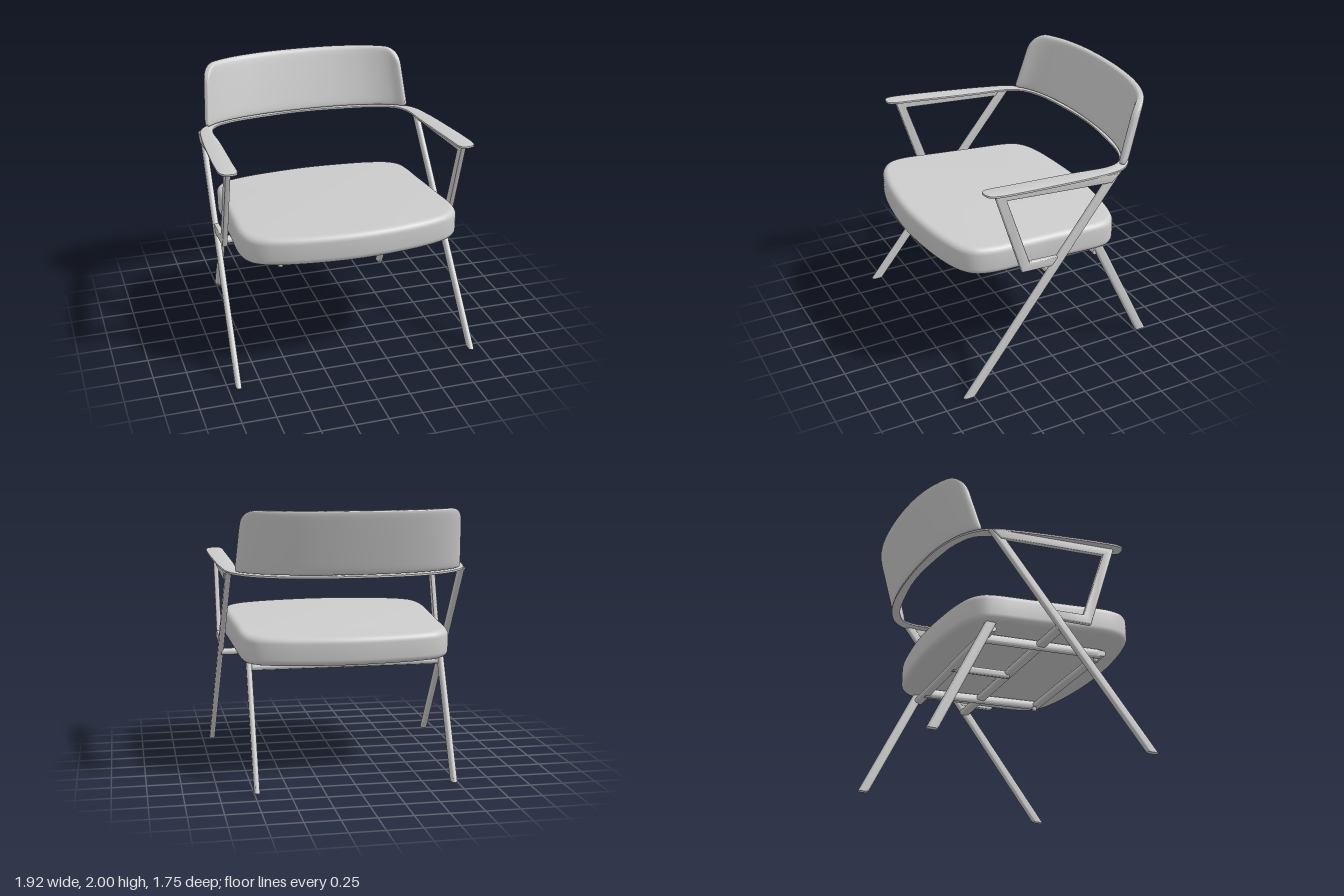
import * as THREE from 'three';
import { toCreasedNormals } from 'three/addons/utils/BufferGeometryUtils.js';

const V = (x, y, z) => new THREE.Vector3(x, y, z);

export function createModel() {
  const group = new THREE.Group();
  const grey = new THREE.MeshStandardMaterial({ color: 0xcccccc });
  grey.name = 'light grey';

  function add(name, geometry, crease = 0.6) {
    const mesh = new THREE.Mesh(toCreasedNormals(geometry, crease), grey);
    mesh.name = name;
    group.add(mesh);
  }

  // Horizontal slab from one half of its (x, z) outline, mirrored in x, then sloped along z
  function slab(half, bottom, thickness, bevel, bevelSegments, slope) {
    const mirrored = half.slice(1, -1).reverse().map(([x, z]) => [-x, z]);
    const points = half.concat(mirrored).map(([x, z]) => V(x, -z, 0));
    const outline = new THREE.CatmullRomCurve3(points, true).getPoints(140).slice(0, -1);
    const shape = new THREE.Shape(outline.map((p) => new THREE.Vector2(p.x, p.y)));
    const geometry = new THREE.ExtrudeGeometry(shape, {
      depth: thickness - 2 * bevel, bevelThickness: bevel, bevelSize: bevel,
      bevelOffset: -bevel, bevelSegments,
    });
    geometry.rotateX(-Math.PI / 2);
    geometry.translate(0, bottom + bevel, 0);
    const pos = geometry.attributes.position;
    for (let i = 0; i < pos.count; i++) pos.setY(i, pos.getY(i) + slope * pos.getZ(i));
    return geometry;
  }

  // Straight bar with a rounded section; ends may be cut level at heights cutA and cutB
  function bar(name, a, b, width, thick, cutA = null, cutB = null) {
    const r = Math.min(width, thick) * 0.42, w = width / 2, t = thick / 2;
    const shape = new THREE.Shape();
    shape.absarc(t - r, w - r, r, 0, Math.PI / 2);
    shape.absarc(-t + r, w - r, r, Math.PI / 2, Math.PI);
    shape.absarc(-t + r, -w + r, r, Math.PI, Math.PI * 1.5);
    shape.absarc(t - r, -w + r, r, Math.PI * 1.5, Math.PI * 2);
    const length = a.distanceTo(b);
    const geometry = new THREE.ExtrudeGeometry(shape, { depth: length, bevelEnabled: false, curveSegments: 5 });
    const dir = b.clone().sub(a).normalize();
    const ref = Math.abs(dir.x) > 0.9 ? V(0, 0, 1) : V(1, 0, 0);
    const up = dir.clone().cross(ref).normalize();
    const side = up.clone().cross(dir);
    geometry.applyMatrix4(new THREE.Matrix4().makeBasis(side, up, dir).setPosition(a));
    const pos = geometry.attributes.position, p = V(0, 0, 0);
    for (let i = 0; i < pos.count; i++) {
      p.fromBufferAttribute(pos, i);
      const cut = p.clone().sub(a).dot(dir) < length / 2 ? cutA : cutB;
      if (cut === null) continue;
      p.addScaledVector(dir, (cut - p.y) / dir.y);
      pos.setXYZ(i, p.x, p.y, p.z);
    }
    add(name, geometry, 0.7);
  }

  // Seat cushion
  add('seat', slab([
    [0, 0.875], [0.3, 0.855], [0.55, 0.81], [0.7, 0.755], [0.79, 0.675], [0.828, 0.55],
    [0.82, 0.25], [0.803, -0.1], [0.79, -0.36], [0.765, -0.45], [0.69, -0.525],
    [0.55, -0.575], [0.3, -0.612], [0, -0.63],
  ], 0.89, 0.215, 0.05, 6, 0.057), 0.5);

  // Thin band forming both armrests and running beneath the backrest
  add('armrestBand', slab([
    [0, -0.745], [0.4, -0.72], [0.62, -0.665], [0.78, -0.58], [0.875, -0.46], [0.915, -0.25],
    [0.945, 0.15], [0.957, 0.4], [0.955, 0.56], [0.935, 0.615], [0.895, 0.633], [0.85, 0.63],
    [0.83, 0.6], [0.82, 0.4], [0.802, -0.1], [0.795, -0.4], [0.74, -0.52],
    [0.6, -0.6], [0.4, -0.645], [0, -0.685],
  ], 1.561, 0.016, 0.004, 2, 0.065));

  // Curved, leaning backrest lofted from rounded sections
  const halfArc = [[0.2, -0.705], [0.4, -0.682], [0.6, -0.632], [0.74, -0.565], [0.8, -0.515], [0.825, -0.475]];
  const arc = new THREE.CatmullRomCurve3([
    ...halfArc.slice().reverse().map(([x, z]) => V(-x, 0, z)), V(0, 0, -0.712),
    ...halfArc.map(([x, z]) => V(x, 0, z)),
  ]);
  const arcLength = arc.getLength();
  const N = 72, K = 48, verts = [], index = [];
  const corner = (d, r) => (d < r ? r - Math.sqrt(r * r - (r - d) ** 2) : 0);
  const power = (v, e) => Math.sign(v) * Math.abs(v) ** e;
  for (let i = 0; i <= N; i++) {
    const u = (1 - Math.cos((Math.PI * i) / N)) / 2;
    const c = arc.getPointAt(u), tan = arc.getTangentAt(u);
    const d = Math.min(u, 1 - u) * arcLength;
    const top = 2.0 - corner(d, 0.13);
    const low = 1.535 + 0.065 * (c.z + 0.74) + corner(d, 0.03);
    const t = 0.03 - 0.022 * (corner(d, 0.06) / 0.06);
    for (let k = 0; k < K; k++) {
      const angle = (k / K) * Math.PI * 2;
      const n = power(Math.cos(angle), 0.4) * t;
      const y = (top + low) / 2 + (power(Math.sin(angle), 0.22) * (top - low)) / 2;
      verts.push((c.x - tan.z * n) * (1 - 0.1 * (y - 1.53)), y, c.z + tan.x * n - 0.3 * (y - 1.53));
      if (i < N) {
        const k1 = (k + 1) % K, a = i * K + k, b = a + K, e = (i + 1) * K + k1, f = i * K + k1;
        index.push(a, b, e, a, e, f);
      }
    }
  }
  for (let k = 1; k < K - 1; k++) index.push(0, k, k + 1, N * K, N * K + k + 1, N * K + k);
  const back = new THREE.BufferGeometry();
  back.setAttribute('position', new THREE.Float32BufferAttribute(verts, 3));
  back.setIndex(index);
  add('backrest', back, 0.8);

  // Bracket outline in (z, y), open where the front leg closes it
  const bracketShape = new THREE.Shape([
    [-0.44, 1.538], [0.56, 1.602], [0.345, 0.925], [0.07, 0.915],
    [0.01, 0.98], [0.285, 0.995], [0.465, 1.53], [-0.37, 1.475],
  ].map(([z, y]) => new THREE.Vector2(z, y)));

  for (const s of [1, -1]) {
    const side = s > 0 ? 'left' : 'right';
    // Arm bracket
    const bracket = new THREE.ExtrudeGeometry(bracketShape, {
      depth: 0.02, bevelThickness: 0.009, bevelSize: 0.009, bevelOffset: -0.009, bevelSegments: 3,
    });
    bracket.translate(0, 0, -0.01);
    bracket.rotateY(-Math.PI / 2);
    bracket.translate(s * 0.887, 0, 0);
    add(side + 'ArmBracket', bracket);
    // Legs
    bar(side + 'FrontLeg', V(s * 0.92, 0, 0.785), V(s * 0.873, 1.54, -0.415), 0.07, 0.042, 0, 1.54);
    bar(side + 'RearLeg', V(s * 0.73, 0, -0.8), V(s * 0.73, 0.87, -0.375), 0.074, 0.042, 0, 0.868);
    // Seat rail and its small plug
    bar(side + 'SeatRail', V(s * 0.555, 0.885, 0.6), V(s * 0.555, 0.828, -0.38), 0.07, 0.045);
    const plug = new THREE.CylinderGeometry(0.018, 0.018, 0.03, 12);
    plug.translate(s * 0.53, 0.842, 0.58);
    add(side + 'RailPlug', plug);
  }

  // Cross members under the seat
  bar('frontRail', V(-0.578, 0.885, 0.605), V(0.578, 0.885, 0.605), 0.045, 0.07);
  bar('crossbar', V(-0.89, 0.86, 0.1), V(0.89, 0.86, 0.1), 0.045, 0.075);
  bar('rearBar', V(-0.74, 0.824, -0.37), V(0.74, 0.824, -0.37), 0.045, 0.07);
  bar('centreRail', V(0, 0.845, 0.1), V(0, 0.822, -0.37), 0.06, 0.04);

  return group;
}
